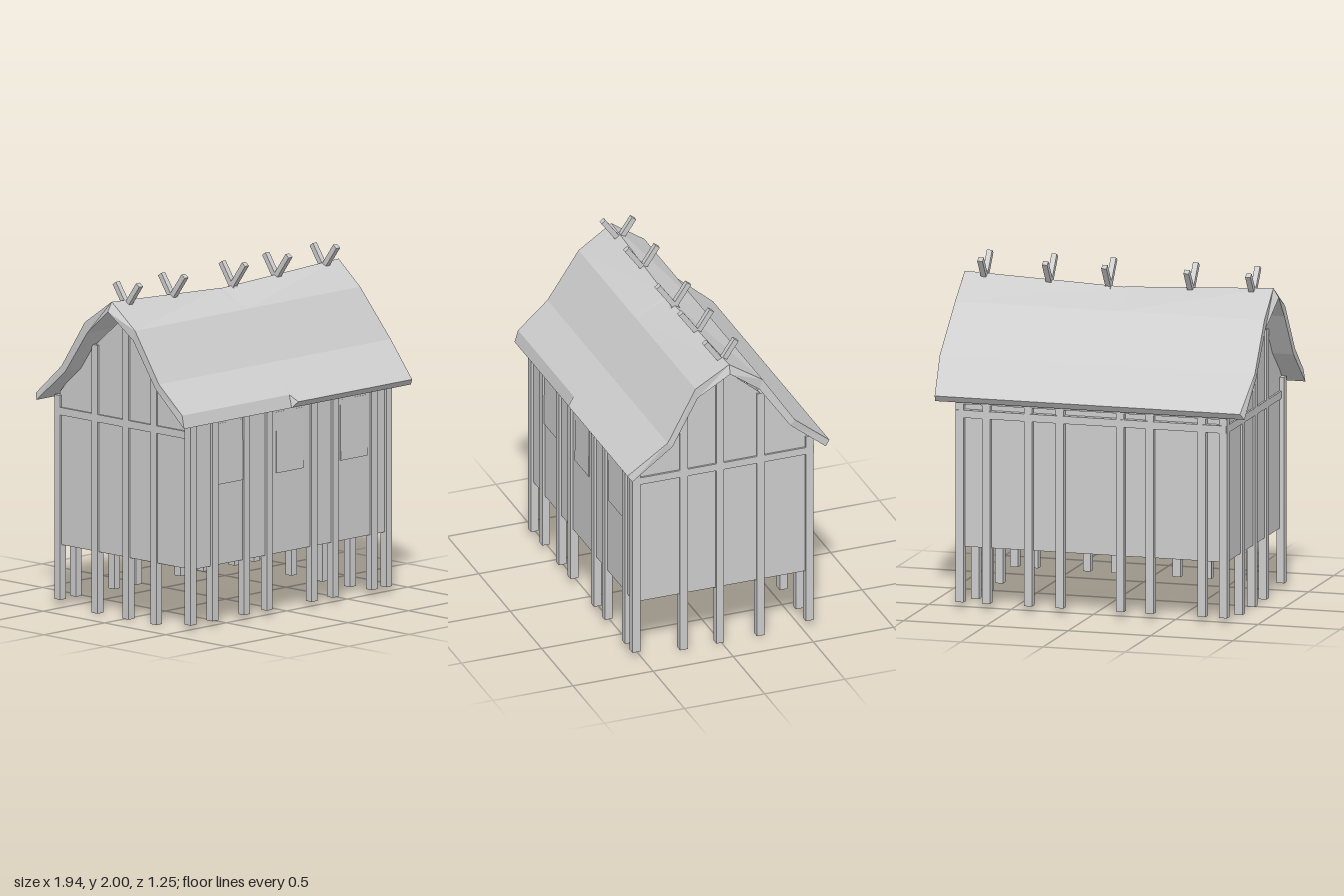
import * as THREE from 'three';

const mat = new THREE.MeshStandardMaterial({ color: 0xcccccc, flatShading: true });
const thin = new THREE.MeshStandardMaterial({ color: 0xcccccc, flatShading: true, side: THREE.DoubleSide });

export function createModel() {
  const model = new THREE.Group();
  model.name = 'stiltHouse';

  const add = (name, geometry, material = mat) => {
    const mesh = new THREE.Mesh(geometry, material);
    mesh.name = name;
    model.add(mesh);
    return mesh;
  };
  // box given by its limits on each axis
  const beam = (name, x0, x1, y0, y1, z0, z1) => {
    const mesh = add(name, new THREE.BoxGeometry(x1 - x0, y1 - y0, z1 - z0));
    mesh.position.set((x0 + x1) / 2, (y0 + y1) / 2, (z0 + z1) / 2);
    return mesh;
  };
  const H = 0.024; // half the width of a post
  const post = (name, x, z, y0, y1) => beam(name, x - H, x + H, y0, y1, z - H, z + H);

  // long walls, open underneath
  const FLOOR = 0.365;
  for (const [name, z] of [['frontWall', 0.54], ['backWall', -0.54]]) {
    const wall = add(name, new THREE.PlaneGeometry(1.63, 1.25 - FLOOR), thin);
    wall.position.set(-0.01, (1.25 + FLOOR) / 2, z);
    if (z < 0) wall.rotation.y = Math.PI;
  }

  // gable walls
  const gable = new THREE.Shape([
    [-0.54, FLOOR], [0.54, FLOOR], [0.54, 1.27], [0.27, 1.57], [0, 1.8], [-0.27, 1.57], [-0.54, 1.27],
  ].map(([z, y]) => new THREE.Vector2(z, y)));
  for (const [name, x] of [['leftGableWall', 0.803], ['rightGableWall', -0.822]]) {
    const wall = add(name, new THREE.ShapeGeometry(gable), thin);
    wall.position.x = x;
    wall.rotation.y = Math.sign(x) * Math.PI / 2;
  }

  // posts along the long walls
  for (const x of [-0.826, -0.645, -0.383, -0.196, 0.175, 0.35, 0.67, 0.791]) {
    post('frontPost', x, 0.531, 0.04, 1.26);
  }
  for (const x of [-0.81, -0.68, -0.363, -0.183, 0.183, 0.375, 0.63, 0.791]) {
    post('backPost', x, -0.55, 0.04, 1.25);
  }

  // gable posts and rails
  for (const x of [0.791, -0.81]) {
    for (const [z, top] of [[0.235, 1.6], [0.008, 1.79], [-0.245, 1.59]]) {
      post('gablePost', x, z, 0, top);
    }
    beam('gableRail', x - H, x + H, 1.135, 1.18, -0.55, 0.54);
  }
  beam('backRail', -0.83, 0.815, 1.135, 1.18, -0.578, -0.53);
  beam('backWallPlate', -0.83, 0.815, 1.215, 1.25, -0.575, -0.53);

  // window shutters, leaning out slightly at the foot
  for (const [x0, x1] of [[-0.62, -0.405], [-0.13, 0.09], [0.4, 0.62]]) {
    const shutter = beam('windowShutter', x0, x1, 0.84, 1.2, 0.536, 0.544);
    shutter.rotation.x = -0.015;
  }

  add('roof', roofGeometry(), thin);

  // crossed ridge sticks
  for (const x of [-0.815, -0.44, 0.06, 0.42, 0.813]) {
    for (const s of [1, -1]) {
      const lean = s > 0 ? 0.63 : 0.6;
      const length = s > 0 ? 0.21 : 0.19;
      const stick = add('ridgeStick', new THREE.BoxGeometry(0.032, length, 0.032).translate(0, length / 2, 0));
      stick.position.set(x, 1.82, -s * 0.02);
      stick.rotation.x = s * lean;
    }
  }
  return model;
}

// thick sagging thatch lofted through cross-sections; the end edges are uneven
function roofGeometry() {
  const section = (xOuter, xInner, ridge, cut) => {
    const outer = [cut ? [0.58, 1.3] : [0.625, 1.26], [0.395, 1.46], [0.2, 1.75], [0, ridge],
      [-0.21, 1.745], [-0.4, 1.46], [-0.63, 1.265]];
    const inner = [[0.6, 1.225], [0.365, 1.43], [0.185, 1.69], [0, ridge - 0.055],
      [-0.19, 1.685], [-0.37, 1.43], [-0.605, 1.23]];
    const place = (pts, xs) => pts.map(([z, y], i) => [Array.isArray(xs) ? xs[i] : xs, y, z]);
    return [...place(outer, xOuter), ...place(inner, xInner).reverse()];
  };
  const sections = [
    section([-0.945, -0.95, -0.95, -0.94, -0.95, -0.95, -0.93],
      [-0.95, -0.95, -0.95, -0.973, -0.95, -0.95, -0.95], 1.893, true),
    section(-0.06, -0.06, 1.85, true),
    section(-0.03, -0.03, 1.847, false),
    section([0.91, 0.965, 0.91, 0.935, 0.93, 0.965, 0.925],
      [0.925, 0.965, 0.91, 0.953, 0.93, 0.965, 0.93], 1.885, false),
  ];
  const pos = [];
  const quad = (a, b, c, d) => pos.push(...a, ...b, ...c, ...a, ...c, ...d);
  const n = 14;
  for (let s = 0; s < sections.length - 1; s++) {
    const a = sections[s], b = sections[s + 1];
    for (let i = 0; i < n; i++) {
      const j = (i + 1) % n;
      quad(a[i], b[i], b[j], a[j]);
    }
  }
  // end faces
  const L = sections[0], R = sections[sections.length - 1];
  for (let i = 0; i < 6; i++) {
    quad(L[i], L[i + 1], L[12 - i], L[13 - i]);
    quad(R[i + 1], R[i], R[13 - i], R[12 - i]);
  }
  const g = new THREE.BufferGeometry();
  g.setAttribute('position', new THREE.Float32BufferAttribute(pos, 3));
  g.computeVertexNormals();
  return g;
}
